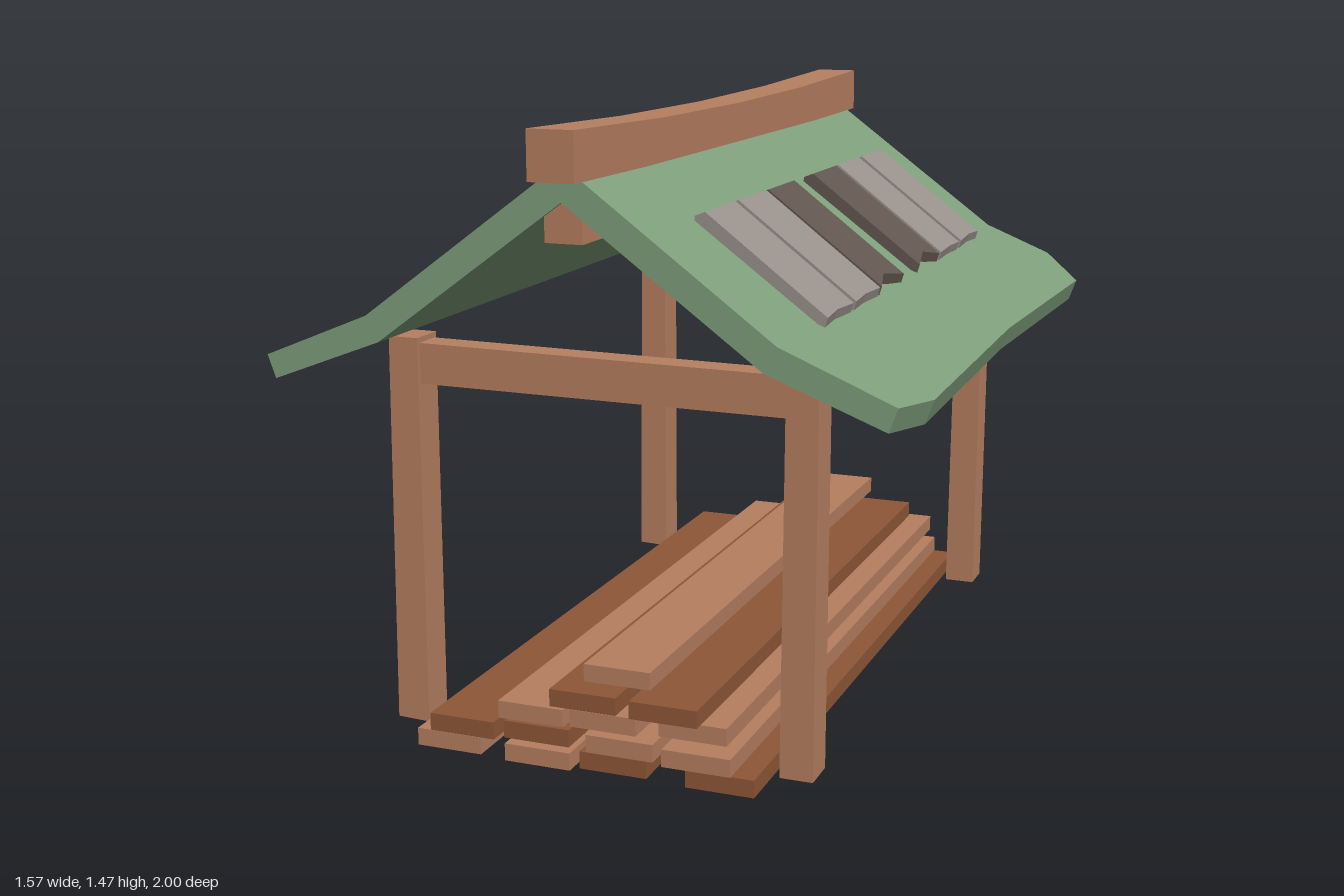
import * as THREE from 'three';

// Joins equal-length outlines (counter-clockwise [x, y] lists) along z, with flat end caps
function loft(sections) {
  const pos = [];
  const put = (s, j) => pos.push(s.pts[j][0], s.pts[j][1], s.z);
  const n = sections[0].pts.length;
  for (let i = 0; i < sections.length - 1; i++) {
    const p = sections[i], q = sections[i + 1];
    for (let j = 0; j < n; j++) {
      const k = (j + 1) % n;
      put(p, j); put(p, k); put(q, k);
      put(p, j); put(q, k); put(q, j);
    }
  }
  const cap = (s, front) => {
    const contour = s.pts.map(([x, y]) => new THREE.Vector2(x, y));
    for (const [a, b, c] of THREE.ShapeUtils.triangulateShape(contour, [])) {
      put(s, a); put(s, front ? b : c); put(s, front ? c : b);
    }
  };
  cap(sections[0], false);
  cap(sections[sections.length - 1], true);
  const g = new THREE.BufferGeometry();
  g.setAttribute('position', new THREE.Float32BufferAttribute(pos, 3));
  g.computeVertexNormals();
  return g;
}

const mirror = (pts) => pts.map(([x, y]) => [-x, y]).reverse();
const slab = (pts, z0, z1) => loft([{ z: z0, pts }, { z: z1, pts }]);

export function createModel() {
  const model = new THREE.Group();
  model.name = 'lumberShelter';

  const material = (name, color) => {
    const m = new THREE.MeshStandardMaterial({ color, flatShading: true });
    m.name = name;
    return m;
  };
  const wood = material('lightWood', 0xb67f60);
  const darkWood = material('darkWood', 0x8f5738);
  const green = material('roofGreen', 0x7f9f7c);
  const paleTile = material('paleTile', 0x9a928d);
  const darkTile = material('darkTile', 0x635751);

  const add = (name, geometry, mat, parent = model) => {
    const mesh = new THREE.Mesh(geometry, mat);
    mesh.name = name;
    parent.add(mesh);
    return mesh;
  };

  // Roof: bent gable with clipped corners; eave reach changes along z
  const roofSection = ([z, reach]) => {
    const eaveY = 1.035 - (reach - 0.5) * 0.42;
    const top = [[reach, eaveY], [0.49, 1.037], [0.05, 1.362]];
    const under = [[0.46, 0.978], [reach - 0.02, eaveY - 0.055]];
    return {
      z,
      pts: [...top, ...mirror(top), ...mirror(under), [0, 1.315], ...under],
    };
  };
  const reaches = [[-0.95, 0.67], [-0.79, 0.787], [0, 0.77], [0.79, 0.787], [0.95, 0.753]];
  add('roof', loft(reaches.map(roofSection)), green);

  // Ridge beam, sagging slightly in the middle
  const ridge = [-1, -0.5, 0, 0.5, 1].map((z) => {
    const sag = 0.02 * (1 - z * z);
    const lo = 1.363 - sag * 0.4, hi = 1.476 - sag;
    return { z, pts: [[-0.055, lo], [0.055, lo], [0.055, hi], [-0.055, hi]] };
  });
  add('ridgeBeam', loft(ridge), wood);

  // Beam under the ridge
  add('innerRidgeBeam', slab([[-0.045, 1.225], [0.045, 1.225], [0.045, 1.31], [-0.045, 1.31]], -0.94, 0.94), wood);

  // Two end frames: slightly crooked posts and a tie beam
  const leftPost = [[0.45, 0.008], [0.53, 0.008], [0.535, 0.952], [0.459, 0.952]];
  const rightPost = [[-0.53, 0.015], [-0.447, 0.012], [-0.445, 0.96], [-0.52, 0.96]];
  const tie = [[-0.447, 0.85], [0.46, 0.845], [0.46, 0.94], [-0.447, 0.947]];
  for (const [name, z] of [['front', 0.755], ['back', -0.755]]) {
    const frame = new THREE.Group();
    frame.name = name + 'Frame';
    model.add(frame);
    add('leftPost', slab(leftPost, z - 0.045, z + 0.045), wood, frame);
    add('rightPost', slab(rightPost, z - 0.045, z + 0.045), wood, frame);
    add('tieBeam', slab(tie, z - 0.035, z + 0.035), wood, frame);
  }

  // Roof tiles: wedge profile with a notched lower edge
  const tiles = new THREE.Group();
  tiles.name = 'roofTiles';
  model.add(tiles);
  const tileSection = (z, inset) => ({
    z,
    pts: [
      [0.505 - inset, 1.022 + inset * 0.733],
      [0.514 - inset, 1.052 + inset * 0.733],
      [0.225, 1.272], [0.2, 1.262], [0.2, 1.24],
    ],
  });
  const tileRows = [
    // z start, z end, notch depth, left side dark, right side dark
    [-0.72, -0.525, 0.005, false, true],
    [-0.5, -0.305, 0.003, false, false],
    [-0.287, -0.09, 0.022, true, true],
    [0.06, 0.255, 0.022, true, true],
    [0.27, 0.465, 0.004, false, true],
    [0.485, 0.68, 0.005, false, false],
  ];
  for (const [z0, z1, notch, leftDark, rightDark] of tileRows) {
    const inner = z0 < 0 ? 0.45 : 0.55;
    const sections = [
      tileSection(z0, 0),
      tileSection(z0 + (z1 - z0) * inner, notch),
      tileSection(z1, 0),
    ];
    add('leftTile', loft(sections), leftDark ? darkTile : paleTile, tiles);
    const flipped = sections.map(({ z, pts }) => ({ z, pts: mirror(pts) }));
    add('rightTile', loft(flipped), rightDark ? darkTile : paleTile, tiles);
  }

  // Stacked planks: [x, z offset, dark]
  const stack = new THREE.Group();
  stack.name = 'plankStack';
  model.add(stack);
  const layers = [
    [[-0.33, 0.03, 0], [-0.097, 0.04, 0], [0.084, 0.02, 1], [0.348, 0.03, 1]],
    [[-0.29, 0.04, 1], [-0.108, 0.02, 1], [0.105, 0.03, 0], [0.297, 0.045, 0]],
    [[-0.122, 0.02, 0], [0.055, 0.01, 0], [0.268, -0.01, 0]],
    [[0.01, 0.02, 1], [0.21, 0.025, 1]],
    [[0.07, -0.04, 0]],
  ];
  layers.forEach((layer, i) => {
    for (const [x, z, dark] of layer) {
      const plank = add('plank', new THREE.BoxGeometry(0.165, 0.042, 1.77), dark ? darkWood : wood, stack);
      plank.position.set(x, 0.025 + i * 0.0472, z);
    }
  });

  // Rest the posts and planks on the ground
  model.position.y = -0.004;
  return model;
}
